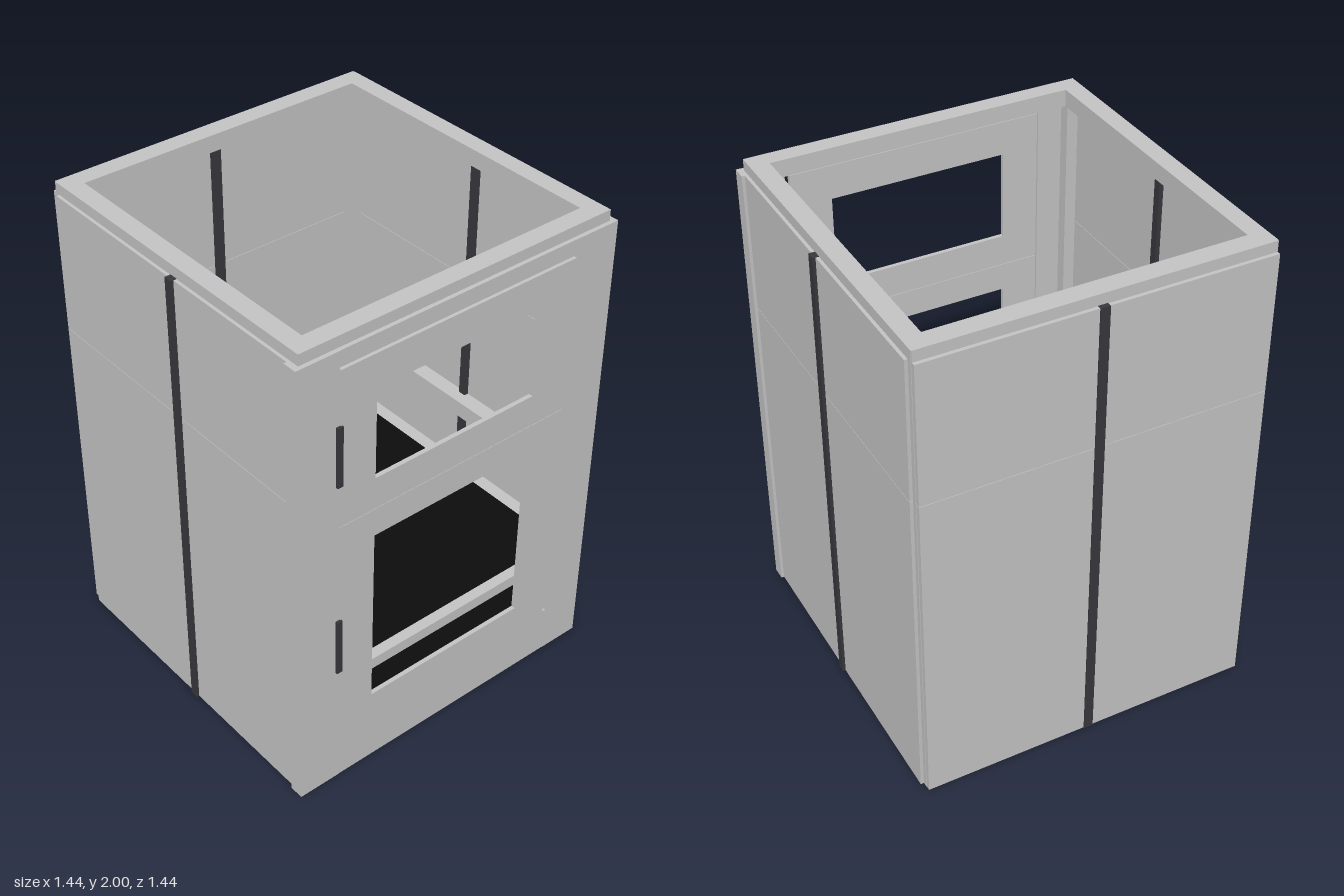
import * as THREE from 'three';

const mat = (name, color, extra = {}) => {
  const m = new THREE.MeshStandardMaterial({ color, ...extra });
  m.name = name;
  return m;
};

export function createModel() {
  const grey = mat('panel grey', 0xc4c4c4);
  const dark = mat('trim charcoal', 0x38383d);
  const black = mat('plate black', 0x0d0d0d);
  const white = mat('module white', 0xe4e4e4);
  const root = new THREE.Group();
  root.name = 'enclosure';

  // Box given by its limits on each axis
  const box = (name, material, [x0, x1], [y0, y1], [z0, z1]) => {
    const m = new THREE.Mesh(new THREE.BoxGeometry(x1 - x0, y1 - y0, z1 - z0), material);
    m.position.set((x0 + x1) / 2, (y0 + y1) / 2, (z0 + z1) / 2);
    m.name = name;
    root.add(m);
    return m;
  };
  // Limits of a range, mirrored when s is -1
  const side = (s, a, b) => (s > 0 ? [a, b] : [-b, -a]);

  const rectPath = (target, x0, x1, y0, y1) => {
    target.moveTo(x0, y0);
    target.lineTo(x1, y0);
    target.lineTo(x1, y1);
    target.lineTo(x0, y1);
    target.closePath();
    return target;
  };
  // Plate with one rectangular opening
  const framed = (name, outer, inner, depth) => {
    const shape = rectPath(new THREE.Shape(), ...outer);
    shape.holes.push(rectPath(new THREE.Path(), ...inner));
    const m = new THREE.Mesh(new THREE.ExtrudeGeometry(shape, { depth, bevelEnabled: false }), grey);
    m.name = name;
    root.add(m);
    return m;
  };

  // Horizontal rings of the frame
  const ring = (name, outer, inner, y0, y1) => {
    const m = framed(name, [-outer, outer, -outer, outer], [-inner, inner, -inner, inner], y1 - y0);
    m.rotation.x = -Math.PI / 2;
    m.position.y = y0;
  };
  ring('topFrame', 0.695, 0.62, 1.93, 2);
  ring('bottomFrame', 0.695, 0.64, 0, 0.05);

  // Corner posts
  for (const sx of [1, -1]) for (const sz of [1, -1])
    box('cornerPost', grey, side(sx, 0.645, 0.695), [0.05, 1.93], side(sz, 0.645, 0.695));

  // Side and back walls, each in a lower and an upper panel
  const seam = 1.38;
  for (const y of [[0, seam - 0.001], [seam + 0.001, 1.955]]) {
    for (const s of [1, -1]) box('sidePanel', grey, side(s, 0.693, 0.708), y, [-0.675, 0.656]);
    box('backPanel', grey, [-0.693, 0.693], y, [-0.715, -0.693]);
  }
  box('backRim', grey, [-0.693, 0.693], [1.955, 2], [-0.7, -0.69]);

  // Vertical joining strips
  for (const s of [1, -1]) box('sideStrip', dark, side(s, 0.675, 0.72), [0, 1.957], [0.012, 0.046]);
  box('backStrip', dark, [-0.019, 0.019], [0, 1.957], [-0.72, -0.675]);

  // Front surround with corner returns
  for (const s of [1, -1]) {
    box('frontPillar', grey, side(s, 0.54, 0.72), [0, 1.955], [0.693, 0.712]);
    box('pillarReturn', grey, side(s, 0.695, 0.72), [0, 1.955], [0.653, 0.7]);
  }
  box('header', grey, [-0.54, 0.54], [1.89, 1.955], [0.693, 0.711]);
  box('kickPanel', grey, [-0.54, 0.54], [0, 0.208], [0.693, 0.711]);

  // Two windowed doors with upright handles
  framed('upperDoor', [-0.538, 0.52, 1.231, 1.882], [-0.385, 0.355, 1.365, 1.74], 0.018).position.z = 0.698;
  framed('lowerDoor', [-0.538, 0.52, 0.212, 1.229], [-0.385, 0.355, 0.33, 1.11], 0.018).position.z = 0.698;
  for (const y of [0.55, 1.41])
    box('handle', dark, [-0.556, -0.532], [y, y + 0.25], [0.705, 0.723]);

  // Middle and lower crossbeams
  for (const s of [1, -1]) {
    box('middleSideBeam', grey, side(s, 0.625, 0.693), [0.77, 0.84], [-0.645, 0.645]);
    box('shelfSideBeam', grey, side(s, 0.635, 0.693), [0.43, 0.478], [-0.645, 0.645]);
  }
  box('middleBackBeam', grey, [-0.645, 0.645], [0.77, 0.84], [-0.693, -0.625]);
  box('shelfFrontBeam', grey, [-0.645, 0.645], [0.43, 0.478], [0.63, 0.69]);

  // Work shelf and floor plate
  box('shelf', black, [-0.635, 0.635], [0.462, 0.48], [-0.46, 0.645]);
  box('floorPlate', black, [-0.617, 0.617], [0.12, 0.14], [-0.617, 0.617]);

  // Control modules on the floor plate
  box('smallModule', white, [-0.46, -0.345], [0.14, 0.425], [0.45, 0.57]);
  box('slimModule', grey, [-0.34, -0.285], [0.14, 0.425], [0.1, 0.4]);
  box('powerModule', grey, [0.12, 0.345], [0.14, 0.425], [0, 0.4]);

  return root;
}
